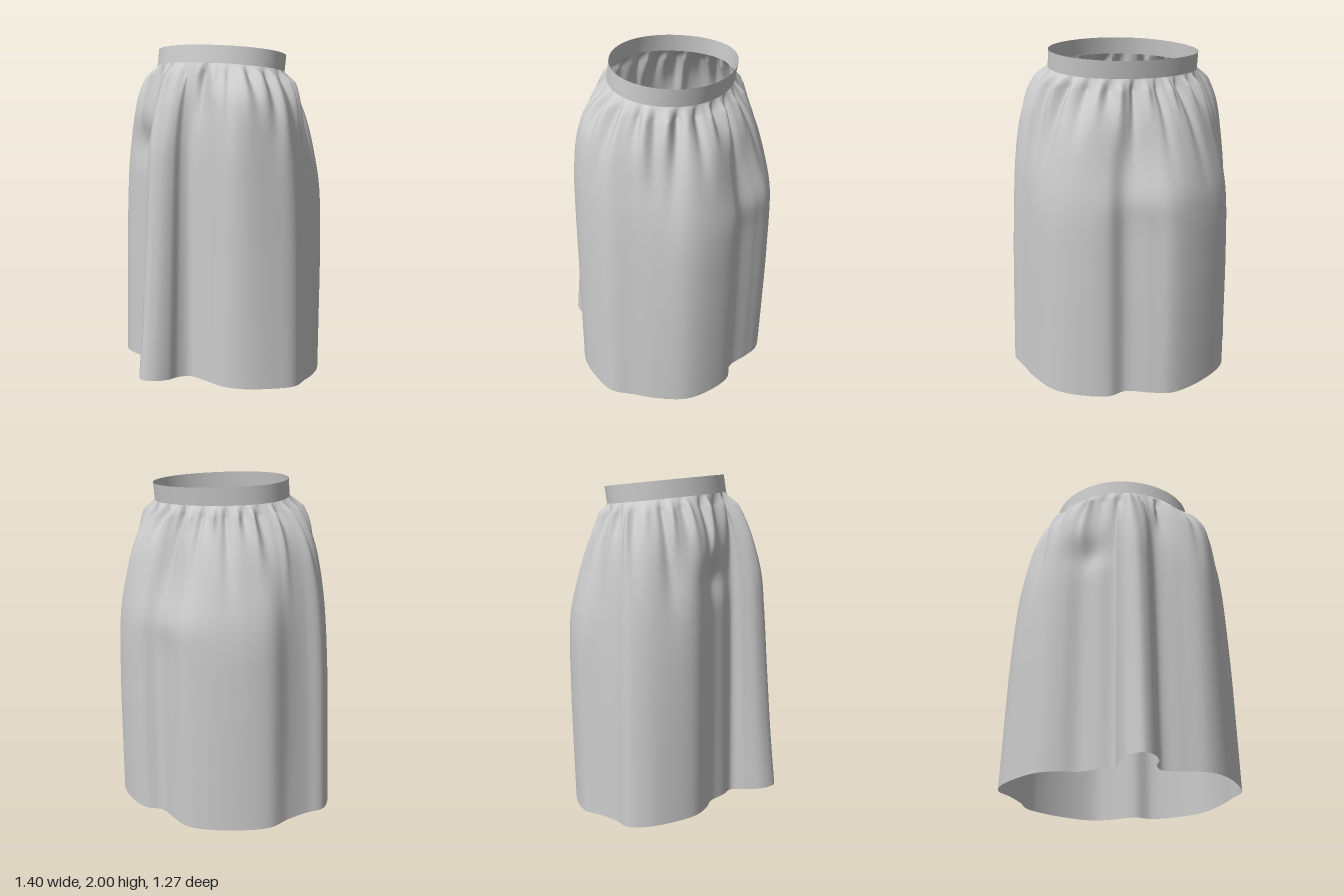
import * as THREE from 'three';

const COLS = 420, ROWS = 80;

// Hem outline (x, z), starting at the deep front fold and running toward +x
const HEM = [
  [0.06, 0.637], [0.12, 0.60], [0.155, 0.52], [0.155, 0.43], [0.19, 0.367], [0.31, 0.357],
  [0.45, 0.352], [0.55, 0.29], [0.655, 0.14], [0.70, 0.02], [0.665, -0.12], [0.63, -0.25],
  [0.55, -0.42], [0.42, -0.52], [0.25, -0.578], [0.14, -0.55], [0.0, -0.605], [-0.11, -0.64],
  [-0.25, -0.61], [-0.45, -0.50], [-0.55, -0.40], [-0.585, -0.27], [-0.64, -0.15], [-0.70, -0.06],
  [-0.68, 0.05], [-0.60, 0.17], [-0.48, 0.28], [-0.37, 0.312], [-0.26, 0.312], [-0.16, 0.36],
  [-0.07, 0.39], [-0.052, 0.48], [-0.015, 0.585],
];

// How far the cloth has spread from waist (0) to hem (1) at a given height
const spread = (...rows) => {
  const curve = new THREE.CubicInterpolant(rows.map((r) => r[0]), rows.map((r) => r[1]), 1, [0]);
  return (y) => curve.evaluate(y)[0];
};
const SIDE = spread([0.04, 1], [0.4, 0.965], [0.8, 0.92], [1.2, 0.83], [1.35, 0.77], [1.5, 0.68],
  [1.6, 0.595], [1.7, 0.46], [1.78, 0.3], [1.84, 0.14], [1.88, 0]);
const FOLD = spread([0.04, 1], [0.4, 0.9], [0.8, 0.81], [1.2, 0.72], [1.4, 0.65], [1.6, 0.48],
  [1.7, 0.36], [1.8, 0.2], [1.88, 0]);
const LOBE = spread([0.04, 1], [0.8, 1], [1.2, 1], [1.4, 0.98], [1.6, 0.88], [1.7, 0.74],
  [1.78, 0.48], [1.84, 0.2], [1.88, 0]);
const BACK = spread([0.04, 0.94], [0.4, 0.97], [0.8, 0.99], [1.2, 0.95], [1.4, 0.8], [1.6, 0.57],
  [1.7, 0.4], [1.8, 0.18], [1.88, 0]);

const wrap = (a) => Math.atan2(Math.sin(a), Math.cos(a));
const gauss = (d, s) => Math.exp(-(d * d) / (2 * s * s));

function seeded(seed) {
  return () => {
    seed = (seed * 16807) % 2147483647;
    return seed / 2147483647;
  };
}

// Egg-shaped waist point at angle a (0 = front, +x = a quarter turn), widest behind the middle
const waist = (a, zc) => {
  const s = Math.sin(a);
  return [0.015 + 0.435 * s, zc + 0.343 * Math.cos(a) - (0.028 - 0.025 * s) * s * s];
};

// Closed tube of cloth: point(i, v) gives a position, v runs from top to bottom
function clothTube(name, rows, point, material) {
  const pos = [], index = [];
  for (let j = 0; j <= rows; j++)
    for (let i = 0; i < COLS; i++) pos.push(...point(i, j / rows));
  for (let j = 0; j < rows; j++)
    for (let i = 0; i < COLS; i++) {
      const k = (i + 1) % COLS, a = j * COLS + i, b = j * COLS + k;
      index.push(a, a + COLS, b, b, a + COLS, b + COLS);
    }
  const g = new THREE.BufferGeometry();
  g.setAttribute('position', new THREE.Float32BufferAttribute(pos, 3));
  g.setIndex(index);
  g.computeVertexNormals();
  const mesh = new THREE.Mesh(g, material);
  mesh.name = name;
  return mesh;
}

export function createModel() {
  const group = new THREE.Group();
  group.name = 'gatheredSkirt';
  const cloth = new THREE.MeshStandardMaterial({ color: 0xcccccc, side: THREE.DoubleSide });

  const hemCurve = new THREE.CatmullRomCurve3(
    HEM.map(([x, z]) => new THREE.Vector3(x, 0, z)), true, 'centripetal');
  hemCurve.arcLengthDivisions = 800;
  const hem = hemCurve.getSpacedPoints(COLS).slice(0, COLS);
  const angles = hem.map((p) => Math.atan2(p.x - 0.015, (p.z + 0.05) * 1.2));

  // Gathers below the waistband, each with its own width, length and slant
  const rnd = seeded(71);
  const COUNT = 44;
  const gathers = Array.from({ length: COUNT }, (_, n) => ({
    a: ((n + 0.7 * rnd()) / COUNT) * Math.PI * 2,
    width: 0.022 + 0.025 * rnd(),
    length: 0.1 + 0.24 * rnd() * rnd() + (n % 5 === 0 ? 0.16 : 0),
    amp: (n % 2 ? -1 : 1) * (0.018 + 0.018 * rnd()),
    slant: (rnd() - 0.5) * 0.35,
  }));

  // Broad soft dents and bulges: angle, height, angular size, vertical size, depth
  const dents = [
    [-0.5, 1.4, 0.16, 0.07, -0.03], [-0.55, 1.6, 0.14, 0.1, 0.02], [0.45, 1.68, 0.1, 0.12, -0.02],
    [1.9, 1.55, 0.2, 0.14, -0.015], [2.5, 1.6, 0.14, 0.14, 0.015], [3.1, 1.22, 0.22, 0.08, 0.015],
    [3.1, 1.5, 0.22, 0.12, -0.02], [-2.3, 1.55, 0.15, 0.16, -0.018], [-1.1, 1.5, 0.1, 0.16, -0.02],
  ];

  function skirtPoint(i, v) {
    const t = Math.pow(v, 1.7), y0 = 1.88 - 1.84 * t, s = 1.88 - y0;
    const a = angles[i], h = hem[i], [wx, wz] = waist(a, -0.052);
    const back = THREE.MathUtils.smoothstep(-Math.cos(a), 0.2, 0.9);
    const lobe = gauss(wrap(a - 0.75), 0.28) + 0.5 * gauss(wrap(a + 0.7), 0.28);
    const fold = gauss(wrap(a - 0.07), 0.19);
    let w = THREE.MathUtils.lerp(SIDE(y0), BACK(y0), back);
    w = THREE.MathUtils.lerp(w, LOBE(y0), lobe);
    w = THREE.MathUtils.lerp(w, FOLD(y0), fold);

    let d = 0;
    const rise = Math.min(1, s / 0.06);
    for (const g of gathers) {
      const width = g.width * (1 + 1.5 * s);
      d += g.amp * rise * Math.exp(-Math.pow(s / g.length, 2) * 0.6) * gauss(wrap(a - g.a - g.slant * s), width);
    }
    for (const [da, dy, sa, sy, depth] of dents) d += depth * gauss(wrap(a - da), sa) * gauss(y0 - dy, sy);

    const yTop = 1.87 + 0.102 * wz, yHem = 0.04 + 0.0635 * h.z;
    return [
      wx + (h.x - wx) * w + d * Math.sin(a),
      yTop + (yHem - yTop) * t,
      wz + (h.z - wz) * w + d * Math.cos(a),
    ];
  }
  group.add(clothTube('skirtBody', ROWS, skirtPoint, cloth));

  // Plain sloping waistband, leaning slightly toward the back at the top
  group.add(clothTube('waistband', 2, (i, v) => {
    const [x, z] = waist(angles[i], -0.068 + 0.016 * v);
    return [x, 1.972 + 0.102 * z - 0.102 * v, z];
  }, cloth));

  return group;
}
